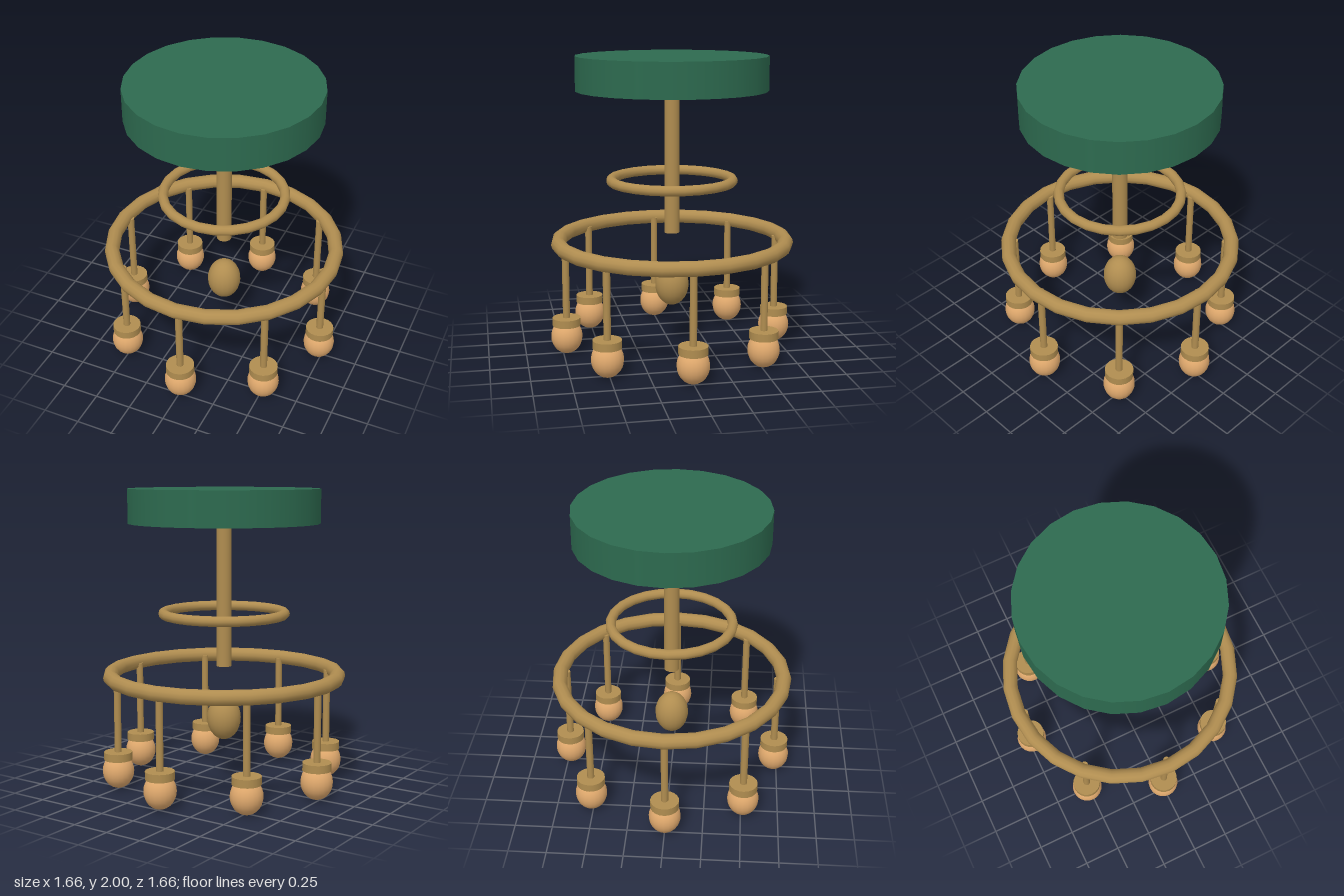
import * as THREE from 'three';

export function createModel() {
  const model = new THREE.Group();
  model.name = 'ringLampStool';

  const mat = (name, color) => {
    const m = new THREE.MeshStandardMaterial({ color });
    m.name = name;
    return m;
  };
  const green = mat('green', 0x2d6a4f);
  const brass = mat('brass', 0xb08d50);
  const amber = mat('amber', 0xe0a96d);

  const add = (parent, name, geometry, material, x, y, z) => {
    const mesh = new THREE.Mesh(geometry, material);
    mesh.name = name;
    mesh.position.set(x, y, z);
    parent.add(mesh);
    return mesh;
  };
  // cylinder placed by its bottom and top heights
  const post = (parent, name, r, y0, y1, sides, material, x = 0, z = 0) =>
    add(parent, name, new THREE.CylinderGeometry(r, r, y1 - y0, sides), material, x, (y0 + y1) / 2, z);
  const ring = (name, radius, tube, y) =>
    add(model, name, new THREE.TorusGeometry(radius, tube, 12, 24).rotateX(Math.PI / 2), brass, 0, y, 0);
  const egg = (parent, name, r, ry, material, x, y, z) =>
    add(parent, name, new THREE.SphereGeometry(r, 20, 14).scale(1, ry / r, 1), material, x, y, z);

  // round top, centre column and horizontal rings
  post(model, 'topDisc', 0.64, 1.772, 2, 24, green);
  post(model, 'column', 0.051, 0.81, 1.772, 16, brass);
  ring('smallRing', 0.408, 0.034, 1.17);
  ring('largeRing', 0.768, 0.05, 0.755);

  // hanging centre drop
  egg(model, 'centreDrop', 0.115, 0.15, brass, 0, 0.452, 0);

  // eight rods, each with a cap and a bulb
  for (let i = 0; i < 8; i++) {
    const a = (i * Math.PI) / 4;
    const arm = new THREE.Group();
    arm.name = 'lampArm' + (i + 1);
    arm.position.set(0.725 * Math.cos(a), 0, 0.725 * Math.sin(a));
    post(arm, 'rod', 0.024, 0.245, 0.755, 10, brass);
    post(arm, 'cap', 0.095, 0.197, 0.25, 20, brass);
    egg(arm, 'bulb', 0.106, 0.119, amber, 0, 0.12, 0);
    model.add(arm);
  }
  return model;
}
